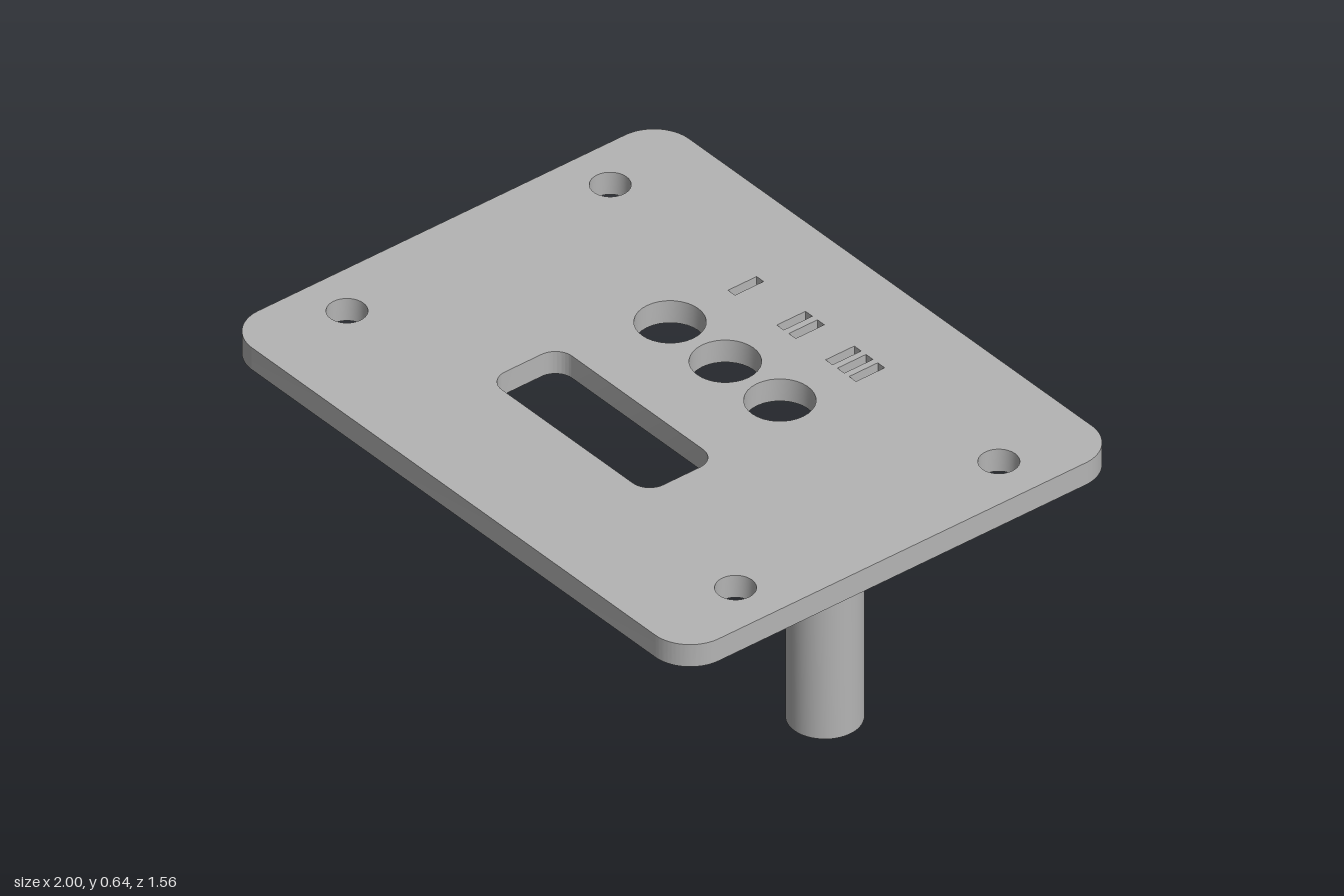
import * as THREE from 'three';
import { mergeGeometries, toCreasedNormals } from 'three/addons/utils/BufferGeometryUtils.js';

const BOTTOM = 0.565, TOP = 0.64, SLOT_FLOOR = 0.605;
const SEGMENTS = 16;

// Outlines are drawn in plan: shape x = model x, shape y = -z.
function roundedRect(path, x, z, w, d, r) {
  const l = x - w / 2, b = -z - d / 2, R = l + w, t = b + d;
  path.moveTo(l + r, b).lineTo(R - r, b);
  if (r) path.absarc(R - r, b + r, r, -Math.PI / 2, 0);
  path.lineTo(R, t - r);
  if (r) path.absarc(R - r, t - r, r, 0, Math.PI / 2);
  path.lineTo(l + r, t);
  if (r) path.absarc(l + r, t - r, r, Math.PI / 2, Math.PI);
  path.lineTo(l, b + r);
  if (r) path.absarc(l + r, b + r, r, Math.PI, Math.PI * 1.5);
  path.closePath();
  return path;
}

const circle = (x, z, r) => new THREE.Path().absarc(x, -z, r, 0, Math.PI * 2);

// Flat face at a given height, facing up or down
function face(shape, height, up = true) {
  const g = new THREE.ShapeGeometry(shape, SEGMENTS).toNonIndexed();
  g.deleteAttribute('uv');
  if (!up) {
    const p = g.attributes.position;
    for (let i = 0; i < p.count; i += 3) {
      const x = p.getX(i), y = p.getY(i);
      p.setXY(i, p.getX(i + 1), p.getY(i + 1));
      p.setXY(i + 1, x, y);
    }
    g.computeVertexNormals();
  }
  return g.translate(0, 0, height);
}

// Upright wall along an outline; inner walls face into the opening
function wall(path, y0, y1, inner) {
  const pts = path.getPoints(SEGMENTS);
  if (pts[0].distanceTo(pts[pts.length - 1]) > 1e-6) pts.push(pts[0].clone());
  if (THREE.ShapeUtils.isClockWise(pts) !== inner) pts.reverse();
  const v = [];
  for (let i = 0; i < pts.length - 1; i++) {
    const a = pts[i], b = pts[i + 1];
    if (a.distanceTo(b) < 1e-6) continue;
    v.push(a.x, a.y, y0, b.x, b.y, y0, b.x, b.y, y1);
    v.push(a.x, a.y, y0, b.x, b.y, y1, a.x, a.y, y1);
  }
  const g = new THREE.BufferGeometry();
  g.setAttribute('position', new THREE.Float32BufferAttribute(v, 3));
  g.computeVertexNormals();
  return toCreasedNormals(g, 0.6);
}

export function createModel() {
  const model = new THREE.Group();
  model.name = 'mountingPanel';
  const grey = new THREE.MeshStandardMaterial({ color: 0xb4b4b4 });
  grey.name = 'grey';

  const add = (name, geometries) => {
    const mesh = new THREE.Mesh(mergeGeometries(geometries).rotateX(-Math.PI / 2), grey);
    mesh.name = name;
    model.add(mesh);
  };

  // Through openings: corner screw holes, three button holes, display window
  const openings = [];
  for (const x of [-0.845, 0.843])
    for (const z of [-0.473, 0.465]) openings.push(circle(x, z, 0.058));
  for (const x of [-0.24, 0, 0.237]) openings.push(circle(x, -0.19, 0.1));
  openings.push(roundedRect(new THREE.Path(), -0.002, 0.246, 0.688, 0.25, 0.06));

  // Engraved marks: one, two and three bars
  const slotX = [-0.239, -0.027, 0.025, 0.185, 0.236, 0.287];
  const slot = (path, x) => roundedRect(path, x, -0.459, 0.03, 0.102, 0);
  const slots = slotX.map((x) => slot(new THREE.Path(), x));

  // Panel
  const outline = () => roundedRect(new THREE.Shape(), 0, 0, 2, 1.556, 0.125);
  const topShape = outline(), bottomShape = outline();
  topShape.holes.push(...openings, ...slots);
  bottomShape.holes.push(...openings);
  add('panel', [
    face(topShape, TOP),
    face(bottomShape, BOTTOM, false),
    wall(outline(), BOTTOM, TOP, false),
    ...openings.map((o) => wall(o, BOTTOM, TOP, true)),
  ]);
  add('engravedBars', slotX.flatMap((x, i) => [
    face(slot(new THREE.Shape(), x), SLOT_FLOOR),
    wall(slots[i], SLOT_FLOOR, TOP, true),
  ]));

  // Posts with a blind screw hole in the foot
  const profile = [[0, 0.42], [0.034, 0.42], [0.034, 0], [0.109, 0], [0.109, BOTTOM]]
    .map(([r, y]) => new THREE.Vector2(r, y));
  const postGeometry = toCreasedNormals(new THREE.LatheGeometry(profile, 48), 0.6);
  for (const [name, x] of [['leftPost', 0.78], ['rightPost', -0.78]]) {
    const post = new THREE.Mesh(postGeometry, grey);
    post.name = name;
    post.position.set(x, 0, 0.095);
    model.add(post);
  }
  return model;
}
